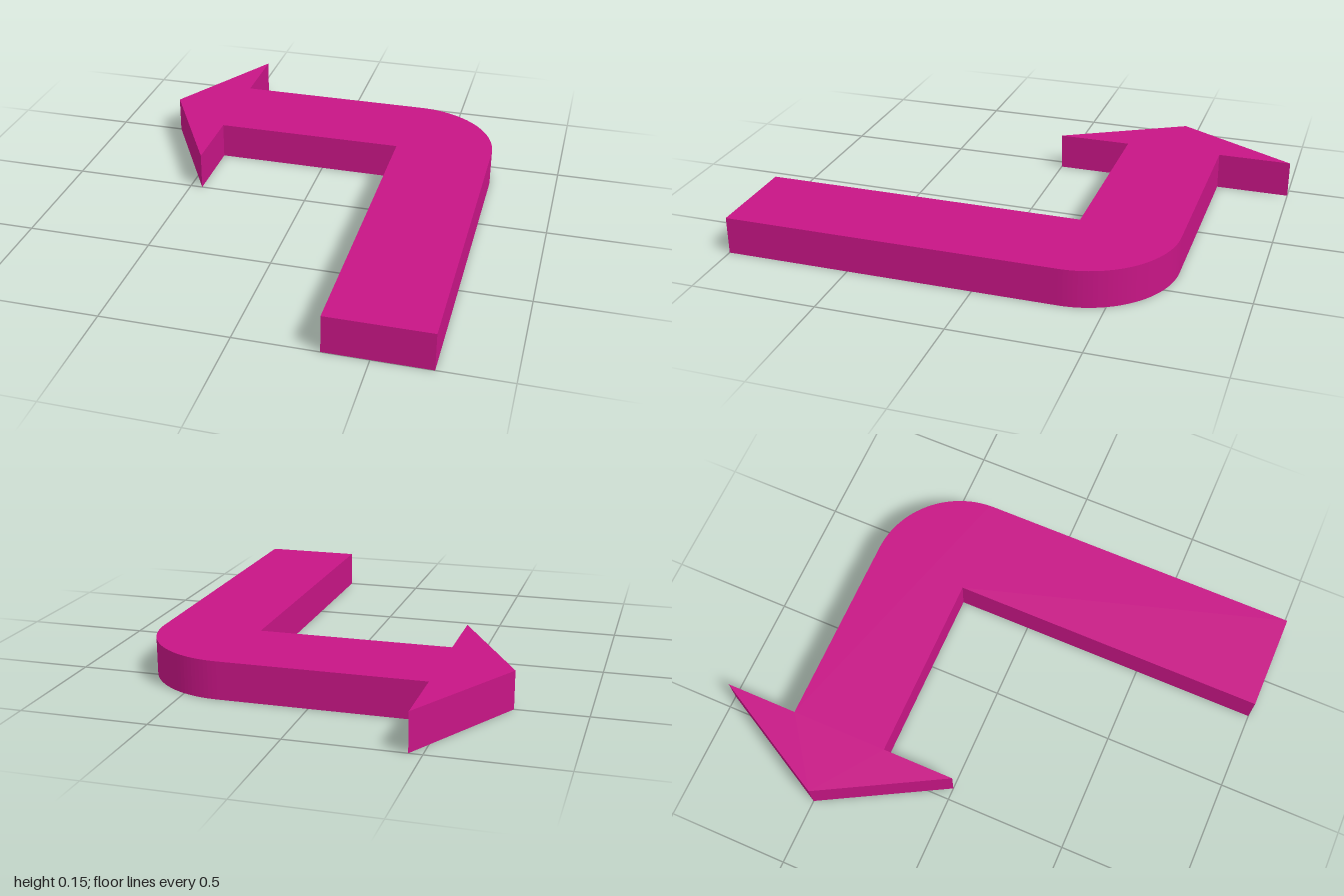
import * as THREE from 'three';

export function createModel() {
  const group = new THREE.Group();
  group.name = 'turnArrow';

  // Outline in plan; shape y becomes -z once laid flat
  const outline = new THREE.Shape();
  outline.moveTo(0.325, -1);
  outline.lineTo(0.725, -1);                                // tail end
  outline.lineTo(0.725, 0.33);
  outline.absarc(0.355, 0.33, 0.37, 0, Math.PI / 2, false); // rounded outer bend
  outline.lineTo(-0.45, 0.7);
  outline.lineTo(-0.45, 1);                                 // arrowhead
  outline.lineTo(-0.725, 0.5);
  outline.lineTo(-0.45, 0);
  outline.lineTo(-0.45, 0.3);
  outline.lineTo(0.325, 0.3);                               // sharp inner corner
  outline.closePath();

  const geometry = new THREE.ExtrudeGeometry(outline, {
    depth: 0.15, bevelEnabled: false, curveSegments: 16,
  });
  geometry.rotateX(-Math.PI / 2);

  const arrow = new THREE.Mesh(geometry, new THREE.MeshStandardMaterial({ color: 0xc71585 }));
  arrow.name = 'bentArrow';
  group.add(arrow);
  return group;
}
